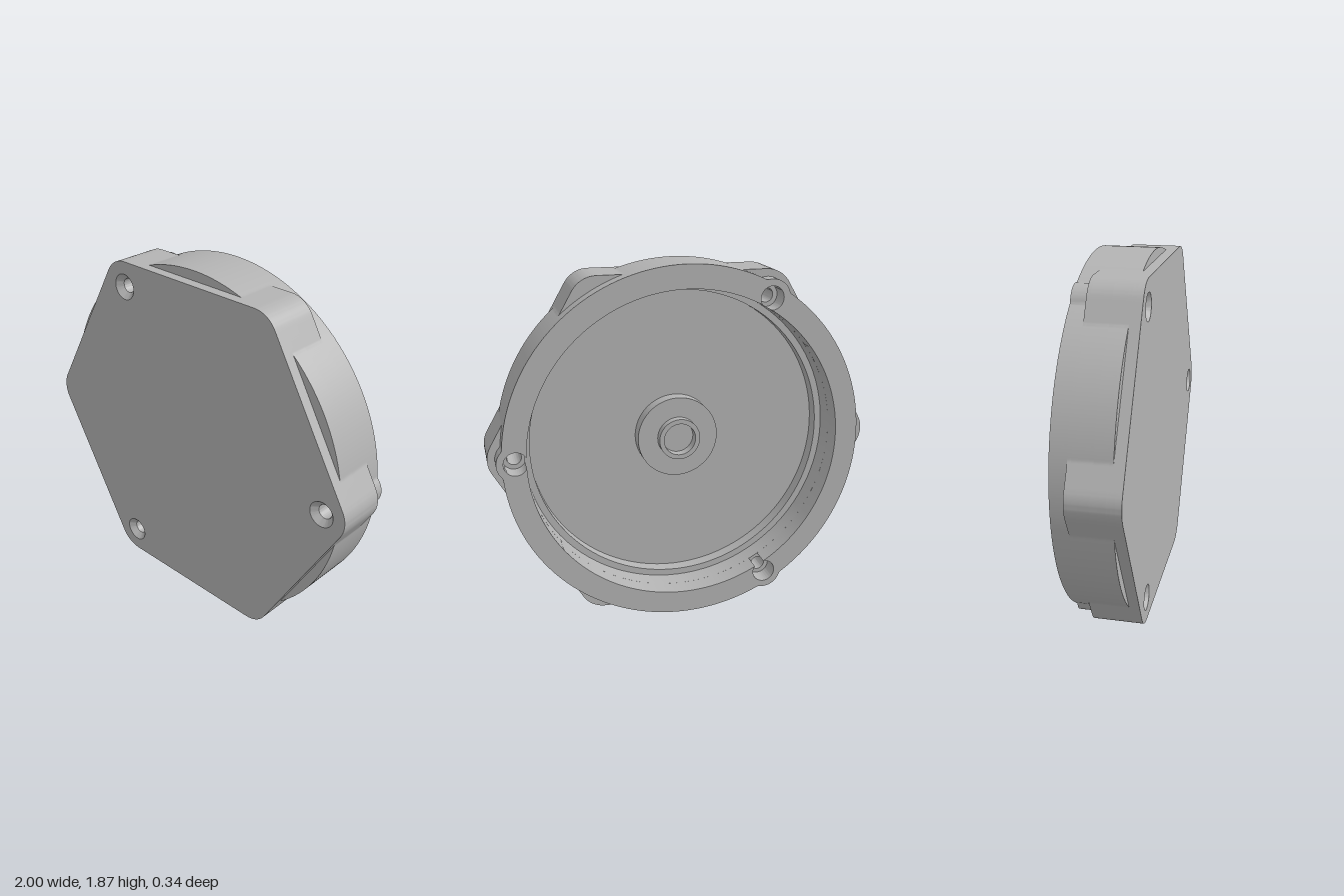
import * as THREE from 'three';
import { toCreasedNormals } from 'three/addons/utils/BufferGeometryUtils.js';

const RIM = 0.935, APOTHEM = 0.885, FILLET = 0.14;   // round body and hexagonal flange
const SCREW = 0.868, BOSS = 0.095;                   // screw circle and boss radius
const SCREW_ANGLES = [0, 1, 2].map(i => i * Math.PI * 2 / 3);

// Angle folded to the nearest multiple of step
const fold = (a, step) => Math.abs(a - Math.round(a / step) * step);

// Distance from the centre to the far side of a circle sitting at distance c
function farSide(a, c, r) {
  const k = r * r - (c * Math.sin(a)) ** 2;
  return k > 0 && a < Math.PI / 2 ? c * Math.cos(a) + Math.sqrt(k) : 0;
}

// Outline radii as functions of the angle
const round = () => RIM;
const bossed = a => Math.max(RIM, farSide(fold(a, Math.PI * 2 / 3), SCREW, BOSS));
function hexagon(a) {
  const f = fold(a, Math.PI / 3);
  const tangent = Math.atan2(FILLET / 2, 1 - FILLET + FILLET * Math.cos(Math.PI / 6));
  return f < tangent ? farSide(f, 1 - FILLET, FILLET) : APOTHEM / Math.cos(Math.PI / 6 - f);
}
const hexAndRound = a => Math.max(RIM, hexagon(a));

function outline(radius) {
  const pts = [];
  for (let i = 0; i < 720; i++) {
    const a = i / 720 * Math.PI * 2;
    pts.push(new THREE.Vector2(Math.cos(a) * radius(a), Math.sin(a) * radius(a)));
  }
  return new THREE.Shape(pts);
}

function circlePath(x, y, r) {
  return new THREE.Path().absarc(x, y, r, 0, Math.PI * 2, false);
}
const screwHoles = r => SCREW_ANGLES.map(a => circlePath(Math.cos(a) * SCREW, Math.sin(a) * SCREW, r));
const cavity = r => circlePath(0, 0, r);

// Cavity whose wall is broken open by the wide screw sockets
function notchedCavity(r, socket) {
  const x = (r * r + SCREW * SCREW - socket * socket) / (2 * SCREW);
  const y = Math.sqrt(r * r - x * x);
  const d = Math.atan2(y, x), neck = Math.atan2(y, x - SCREW);
  const path = new THREE.Path();
  for (const a of SCREW_ANGLES) {
    path.absarc(Math.cos(a) * SCREW, Math.sin(a) * SCREW, socket, a - neck, a + neck, false);
    path.absarc(0, 0, r, a + d, a + Math.PI * 2 / 3 - d, false);
  }
  return path;
}

export function createModel() {
  const grey = new THREE.MeshStandardMaterial({ color: 0xb3b3b3 });
  grey.name = 'grey';
  const model = new THREE.Group();
  model.name = 'housingCover';
  const body = new THREE.Group();
  body.position.y = RIM;
  model.add(body);

  function add(name, geometry) {
    const mesh = new THREE.Mesh(toCreasedNormals(geometry, 0.5), grey);
    mesh.name = name;
    body.add(mesh);
    return mesh;
  }

  function layer(name, radius, holes, z0, z1) {
    const shape = outline(radius);
    shape.holes.push(...holes);
    const g = new THREE.ExtrudeGeometry(shape, { depth: z1 - z0, bevelEnabled: false, curveSegments: 48 });
    g.translate(0, 0, z0);
    add(name, g);
  }

  // Turned part about the z axis; points are [radius, z]
  function turned(name, points, segments) {
    const g = new THREE.LatheGeometry(points.map(p => new THREE.Vector2(...p)), segments);
    g.rotateX(Math.PI / 2);
    return add(name, g);
  }

  // Shell, stacked from the open back to the closed front
  layer('rim', bossed, [notchedCavity(0.815, 0.06)], -0.17, -0.087);
  layer('flangeBack', hexAndRound, [notchedCavity(0.815, 0.06)], -0.087, -0.07);
  layer('flangeWall', hexAndRound, [cavity(0.815), ...screwHoles(0.037)], -0.07, 0.03);
  layer('innerStep', hexAndRound, [cavity(0.78), ...screwHoles(0.037)], 0.03, 0.1);
  layer('floor', hexAndRound, screwHoles(0.037), 0.1, 0.117);
  layer('frontPlate', hexagon, screwHoles(0.037), 0.117, 0.14);
  layer('frontFace', hexagon, screwHoles(0.067), 0.14, 0.17);

  // Countersinks of the screw holes
  for (const a of SCREW_ANGLES) {
    const sink = turned('countersink', [[0.067, 0.17], [0.037, 0.14]], 96);
    sink.position.set(Math.cos(a) * SCREW, Math.sin(a) * SCREW, 0);
  }

  // Stepped hub with a blind bore on the inside of the floor
  turned('hub', [[0, 0.035], [0.085, 0.035], [0.085, -0.02], [0.11, -0.02],
    [0.11, 0.025], [0.215, 0.025], [0.215, 0.1]], 96);

  return model;
}
